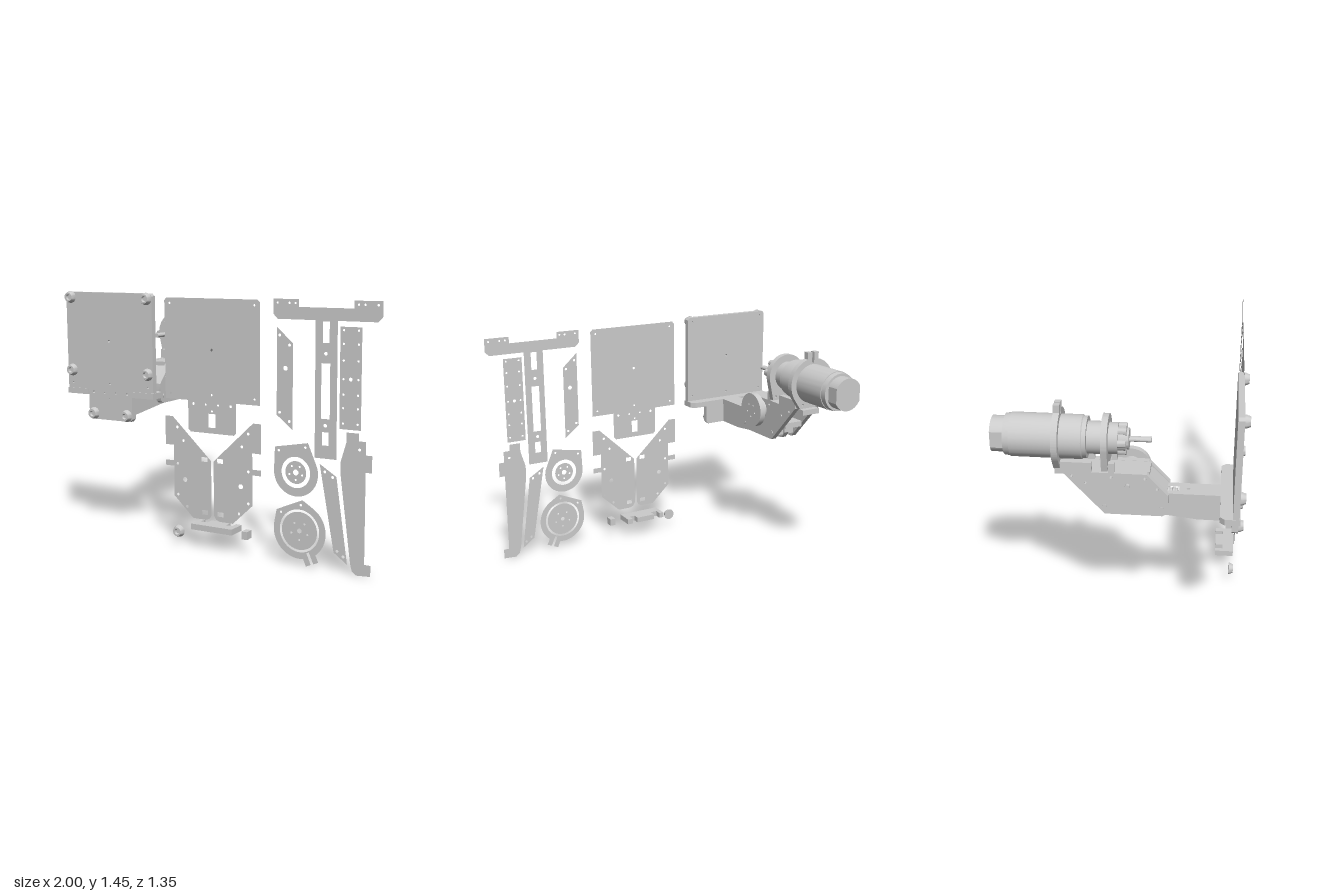
import * as THREE from 'three';
import { toCreasedNormals } from 'three/addons/utils/BufferGeometryUtils.js';

const CX = -0.697;   // centre line of the assembled machine
const BED = 0.648;   // plane of the flat cut sheets
const T = 0.034;     // board thickness
const AXIS = 1.158;  // motor axis height
const mat = new THREE.MeshStandardMaterial({ color: 0xcccccc });
const thin = new THREE.MeshStandardMaterial({ color: 0xcccccc, side: THREE.DoubleSide });

export function createModel() {
  const model = new THREE.Group();

  const add = (name, geo, x = 0, y = 0, z = 0, material = mat) => {
    const m = new THREE.Mesh(geo, material);
    m.name = name;
    m.position.set(x, y, z);
    model.add(m);
    return m;
  };
  const box = (name, x0, x1, y0, y1, z0, z1) =>
    add(name, new THREE.BoxGeometry(x1 - x0, y1 - y0, z1 - z0), (x0 + x1) / 2, (y0 + y1) / 2, (z0 + z1) / 2);

  // Round holes [x, y, r] and outlines that may also have rectangular holes [x0, x1, y0, y1]
  const drill = (shape, rounds) => {
    for (const [x, y, r = 0.006] of rounds) shape.holes.push(new THREE.Path().absarc(x, y, r, 0, Math.PI * 2, true));
    return shape;
  };
  const outline = (pts, rounds = [], rects = []) => {
    const s = drill(new THREE.Shape(pts.map(p => new THREE.Vector2(...p))), rounds);
    for (const [a, b, c, d] of rects)
      s.holes.push(new THREE.Path([[a, c], [a, d], [b, d], [b, c]].map(p => new THREE.Vector2(...p))));
    return s;
  };
  const disc = (r, rounds) => drill(new THREE.Shape().absarc(0, 0, r, 0, Math.PI * 2), rounds);
  const extrude = (shape, depth = T) =>
    toCreasedNormals(new THREE.ExtrudeGeometry(shape, { depth, bevelEnabled: false, curveSegments: 24 }), 0.5);
  const sheet = (name, shape, x = 0, y = 0, turn = 0) => {
    add(name, new THREE.ShapeGeometry(shape, 24), x, y, BED, thin).rotation.z = turn;
  };
  // Solid of revolution along z from [radius, z] pairs with rising z
  const turned = (name, prof, x, y, z = 0, seg = 40) =>
    add(name, toCreasedNormals(new THREE.LatheGeometry(prof.map(p => new THREE.Vector2(...p)), seg).rotateX(Math.PI / 2), 0.6), x, y, z);
  // Rod along x
  const rod = (name, r, x0, x1, y, z, seg = 32) =>
    add(name, new THREE.CylinderGeometry(r, r, x1 - x0, seg).rotateZ(Math.PI / 2), (x0 + x1) / 2, y, z);

  // Front board: as an upright plate and as a flat sheet
  const boardHoles = [[0, 1.16, 0.008], [0, 0.91], [-0.04, 0.855], [0.04, 0.855], [-0.12, 0.855, 0.008],
    [0.12, 0.855, 0.008], [0, 0.82], [-0.27, 0.905], [0.27, 0.905], [-0.27, 1.41], [0.27, 1.41]];
  const boardPts = [[-0.155, 0.71], [-0.14, 0.695], [0.14, 0.695], [0.155, 0.71], [0.155, 0.873], [0.305, 0.873],
    [0.305, 1.425], [0.29, 1.44], [-0.29, 1.44], [-0.305, 1.425], [-0.305, 0.873], [-0.155, 0.873]];
  add('frontBoard', extrude(outline(boardPts, boardHoles)), CX, 0, BED - T);
  sheet('frontBoardSheet', outline(boardPts, boardHoles, [[-0.022, 0.022, 0.727, 0.805]]), 0, -0.018);

  // Rubber feet with a recessed centre
  const foot = [[0, 0], [0.035, 0], [0.035, 0.006], [0.026, 0.028], [0.016, 0.028], [0.012, 0.015], [0, 0.015]];
  for (const s of [-1, 1]) for (const [dx, y] of [[0.27, 1.41], [0.27, 0.98], [0.118, 0.73]])
    turned('foot', foot, CX + s * dx, y, BED, 24);
  turned('looseFoot', foot, -0.245, 0.08, BED - 0.028, 24);

  // T-shaped deck
  const teePts = [[0.385, 1.43], [0.385, 1.35], [0.41, 1.325], [0.63, 1.325], [0.63, 0.605], [0.755, 0.605],
    [0.755, 1.325], [0.975, 1.325], [1, 1.35], [1, 1.43], [0.845, 1.43], [0.845, 1.39], [0.535, 1.39], [0.535, 1.43]];
  const teeRects = [[0.672, 0.71, 1.21, 1.32], [0.665, 0.715, 0.815, 1.105], [0.672, 0.71, 0.675, 0.745]];
  const teeHoles = [[0.41, 1.41], [0.48, 1.41], [0.515, 1.41], [0.87, 1.41], [0.905, 1.41], [0.975, 1.41],
    [0.69, 1.155, 0.01], [0.69, 0.78, 0.01]];
  sheet('deckSheet', outline(teePts, teeHoles, teeRects));
  const deckPts = teePts.map(([x, y]) => [x - 0.692, 0.777 - y]);
  const deckRects = teeRects.slice(1).map(([a, b, c, d]) => [a - 0.692, b - 0.692, 0.777 - d, 0.777 - c]);
  add('deck', extrude(outline(deckPts, [[0, -0.375, 0.01]], deckRects)).rotateX(-Math.PI / 2), CX, 0.839, 0);

  // Central rib under the deck, points as [-z, y]
  const ribPts = [[-0.645, 0.695], [-0.43, 0.695], [0.07, 0.752], [0.1, 0.79], [0.1, 0.839], [-0.645, 0.839]];
  add('rib', extrude(outline(ribPts)).rotateY(Math.PI / 2), CX - T / 2, 0, 0);
  sheet('ribSheet', outline([[0.81, 0.755], [0.88, 0.755], [0.88, 0.715], [0.92, 0.715], [0.92, 0.645], [0.955, 0.645],
    [0.955, 0.555], [0.92, 0.555], [0.92, 0.065], [0.955, 0.065], [0.955, 0.005], [0.875, 0], [0.85, 0.02],
    [0.84, 0.06], [0.78, 0.53], [0.78, 0.6], [0.81, 0.7]], [[0.885, 0.67, 0.008]]));

  // Gearbox cheeks: mirrored sheets and standing pair
  const cheekPts = [[-0.31, 0.755], [-0.31, 0.59], [-0.255, 0.59], [-0.255, 0.5], [-0.31, 0.5], [-0.31, 0.468],
    [-0.255, 0.468], [-0.255, 0.295], [-0.13, 0.178], [-0.045, 0.178], [-0.02, 0.188], [-0.008, 0.21],
    [-0.008, 0.52], [-0.26, 0.755]];
  const cheekHoles = [[-0.182, 0.396, 0.014], [-0.23, 0.485, 0.008], [-0.23, 0.695, 0.008], [-0.23, 0.305, 0.008],
    [-0.17, 0.24, 0.008], [-0.19, 0.62, 0.008]];
  const cheekSlots = [[-0.07, -0.032, 0.512, 0.538], [-0.07, -0.032, 0.207, 0.233]];
  for (const s of [-1, 1])
    sheet('cheekSheet', outline(cheekPts.map(([x, y]) => [-s * x, y]), cheekHoles.map(([x, y, r]) => [-s * x, y, r]),
      cheekSlots.map(([a, b, c, d]) => [-s * a, -s * b, c, d])));
  const standing = outline(cheekPts.map(([x, y]) => [y - 0.452, 0.742 - x]),
    cheekHoles.map(([x, y, r]) => [y - 0.452, 0.742 - x, r]));
  for (const x of [CX - 0.095, CX + 0.095 - T]) add('cheek', extrude(standing).rotateY(Math.PI / 2), x, 0, 0);

  // Boards and cross bars between the cheeks
  box('platform', CX - 0.061, CX + 0.061, 0.963, 0.996, -0.34, 0.17);
  box('slantedBoard', CX - 0.061, CX + 0.061, 0.915, 0.935, 0.125, 0.28).rotation.x = Math.PI / 4;
  for (const z of [-0.07, 0.235]) {
    box('crossBar', CX - 0.061, CX + 0.061, 0.775, 0.81, z - 0.015, z + 0.015);
    rod('bolt', 0.014, CX - 0.1, CX + 0.1, 0.795, z, 6);
  }

  // Worm screw along the deck window
  const worm = [[0, 0.12]];
  for (let i = 0; i < 14; i++) {
    const r = i % 2 ? 0.025 : 0.032;
    worm.push([r, 0.12 + i * 0.0145], [r, 0.128 + i * 0.0145]);
  }
  worm.push([0, 0.325]);
  turned('wormScrew', worm, CX, 0.847, 0, 20);

  // Hand wheel on its axle
  const ringHoles = r => Array.from({ length: 5 }, (_, i) => {
    const a = -Math.PI / 2 + i * Math.PI * 0.4;
    return [r * Math.cos(a), r * Math.sin(a)];
  });
  add('wheel', extrude(disc(0.107, ringHoles(0.042)), 0.037).rotateY(Math.PI / 2), -0.562, 0.925, 0.055);
  rod('wheelHub', 0.062, -0.602, -0.562, 0.925, 0.055);
  rod('axle', 0.014, CX - 0.115, -0.56, 0.925, 0.055, 20);

  // Motor clamps: foot at the bottom, optional split ears on top
  const clamp = (r, hole, w, a, ears) => {
    const s = new THREE.Shape();
    s.moveTo(-w, -0.15);
    s.lineTo(w, -0.15);
    if (ears) {
      s.absarc(0, 0, r, -a, Math.PI / 2 - 0.26);
      for (const p of [[0.04, 0.192], [0.008, 0.192], [0.008, 0.125], [-0.008, 0.125], [-0.008, 0.192], [-0.04, 0.192]]) s.lineTo(...p);
      s.absarc(0, 0, r, Math.PI / 2 + 0.26, Math.PI + a);
    } else s.absarc(0, 0, r, -a, Math.PI + a);
    s.closePath();
    return drill(s, [[0, 0, hole], [w - 0.02, -0.128, 0.007], [0.02 - w, -0.128, 0.007]]);
  };
  const frontClamp = clamp(0.131, 0.085, 0.1, 0.2, false);
  const rearClamp = clamp(0.155, 0.118, 0.085, 0.6, true);
  add('frontClamp', extrude(frontClamp), CX, AXIS, -0.084);
  add('rearClamp', extrude(rearClamp), CX, AXIS, -0.34);
  sheet('frontClampSheet', frontClamp, 0.52, 0.513, -2.96);
  sheet('hubSheet', disc(0.062, [[0, 0, 0.016], ...ringHoles(0.04)]), 0.52, 0.513);
  sheet('rearClampSheet', rearClamp, 0.543, 0.195, -2.73);
  sheet('wheelSheet', disc(0.105, [[0, 0, 0.013], ...ringHoles(0.05)]), 0.543, 0.195);

  // Motor body, nose and shaft
  turned('motorBody', [[0, -0.603], [0.112, -0.603], [0.115, -0.57], [0.119, -0.57], [0.119, -0.19], [0.113, -0.185],
    [0.113, -0.163], [0.088, -0.163], [0.088, -0.05], [0.085, -0.05], [0.085, 0], [0.07, 0], [0.07, 0.042],
    [0.058, 0.042], [0.058, 0.057], [0, 0.057]], CX, AXIS, 0, 48);
  for (let i = 0; i < 6; i++) {
    const a = i * Math.PI / 3;
    turned('noseLobe', [[0, 0], [0.022, 0], [0.022, 0.045], [0, 0.045]], CX + 0.064 * Math.cos(a), AXIS + 0.064 * Math.sin(a), 0, 16);
  }
  turned('shaft', [[0, 0.05], [0.014, 0.05], [0.014, 0.175], [0, 0.175]], CX, AXIS, 0, 20).scale.x = 1.4;

  // End cap with flattened sides
  const cap = new THREE.Shape();
  const flat = Math.acos(0.086 / 0.097);
  cap.absarc(0, 0, 0.097, flat, Math.PI - flat);
  cap.absarc(0, 0, 0.097, Math.PI + flat, Math.PI * 2 - flat);
  cap.closePath();
  add('motorCap', extrude(cap, 0.073), CX, AXIS, -0.675);

  // Remaining flat strips
  sheet('skewedStripSheet', outline([[0.405, 1.285], [0.405, 0.815], [0.5, 0.74], [0.5, 1.2]],
    [[0.457, 1.067, 0.013], [0.422, 1.24, 0.008], [0.48, 1.19, 0.008], [0.48, 0.785, 0.008], [0.422, 0.83, 0.008]]));
  const stripHoles = [[0.83, 1.03, 0.01]];
  for (const x of [0.79, 0.872]) for (const y of [0.8, 0.88, 0.95, 1.03, 1.125, 1.21, 1.28]) stripHoles.push([x, y]);
  sheet('platformSheet', outline([[0.77, 0.77], [0.89, 0.77], [0.89, 1.297], [0.77, 1.297]], stripHoles));
  sheet('taperedStripSheet', outline([[0.66, 0.575], [0.745, 0.105], [0.823, 0.05], [0.757, 0.515]],
    [[0.69, 0.535, 0.008], [0.735, 0.51, 0.008], [0.765, 0.115, 0.008], [0.8, 0.09, 0.008]]));

  // Loose three-pronged bracket and spacer block
  const bracket = [[-0.15, -0.645], [0.12, -0.645], [0.12, -0.535], [0.085, -0.535], [0.085, -0.58], [0.048, -0.58],
    [0.048, -0.535], [-0.077, -0.535], [-0.077, -0.58], [-0.12, -0.58], [-0.12, -0.535], [-0.15, -0.535]];
  add('looseBracket', extrude(outline(bracket)).rotateX(-Math.PI / 2), 0, 0.108, 0);
  box('looseBlock', 0.185, 0.22, 0.097, 0.142, 0.597, BED);

  return model;
}
